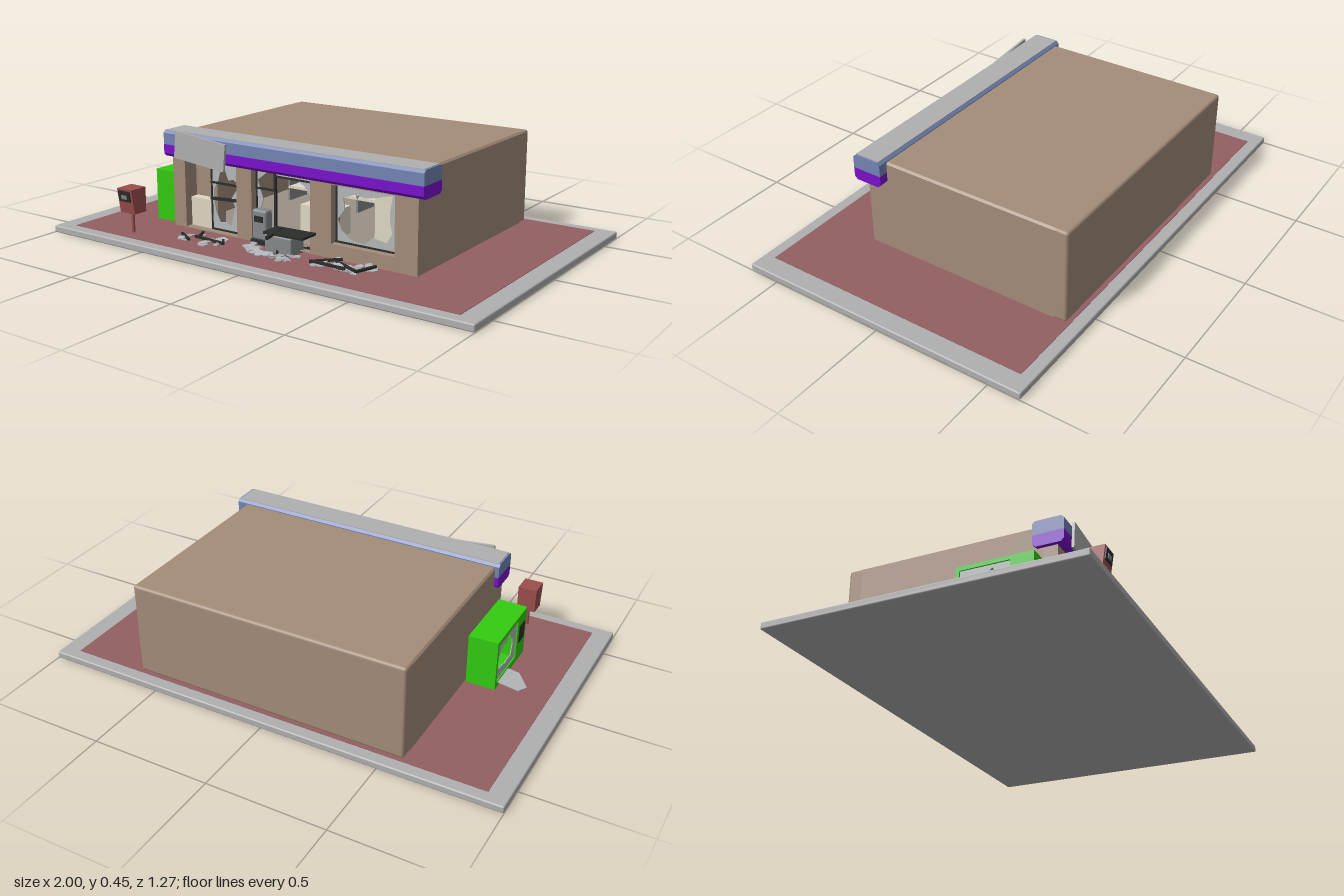
import * as THREE from 'three';
import { RoundedBoxGeometry } from 'three/addons/geometries/RoundedBoxGeometry.js';

const C = {
  wall: 0xa48c79, green: 0x33cc11, purple: 0x7a10cc, blue: 0x7484b4, concrete: 0xb0b0b0, paving: 0x935f62,
  mailbox: 0x9c4e4e, dark: 0x2b2d2b, cream: 0xe0d8c4, glass: 0xb4b8ba, grey: 0x85888a, floor: 0x9a9186,
};
const mats = {};
const mat = (c) => (mats[c] ??= new THREE.MeshStandardMaterial({ color: C[c], side: THREE.DoubleSide }));

let seed = 7;
const rnd = (a = 0, b = 1) => {
  seed = (seed * 16807) % 2147483647;
  return a + (b - a) * seed / 2147483647;
};

function add(parent, name, geo, color, x = 0, y = 0, z = 0) {
  const m = new THREE.Mesh(geo, mat(color));
  m.name = name;
  m.position.set(x, y, z);
  parent.add(m);
  return m;
}

// Box given by its limits on each axis, optionally with rounded edges
function box(parent, name, color, [x0, x1], [y0, y1], [z0, z1], r = 0) {
  const s = [x1 - x0, y1 - y0, z1 - z0];
  const geo = r ? new RoundedBoxGeometry(...s, 2, r) : new THREE.BoxGeometry(...s);
  return add(parent, name, geo, color, (x0 + x1) / 2, (y0 + y1) / 2, (z0 + z1) / 2);
}

const poly = (pts) => new THREE.Shape(pts.map(([x, y]) => new THREE.Vector2(x, y)));
const rect = (x0, x1, y0, y1) => poly([[x0, y0], [x1, y0], [x1, y1], [x0, y1]]);
const extrude = (shape, depth) => new THREE.ExtrudeGeometry(shape, { depth, bevelEnabled: false });

// Prism along x from a (z, y) profile
function prismX(parent, name, color, profile, x0, x1) {
  const geo = extrude(poly(profile.map(([z, y]) => [-z, y])), x1 - x0);
  geo.rotateY(Math.PI / 2);
  return add(parent, name, geo, color, x0);
}

// Thin bar between two points
function bar(parent, name, a, b, t = 0.008, color = 'dark') {
  const A = new THREE.Vector3(...a), B = new THREE.Vector3(...b);
  const m = add(parent, name, new THREE.BoxGeometry(t, t, A.distanceTo(B)), color);
  m.position.copy(A).lerp(B, 0.5);
  m.lookAt(B);
  return m;
}

// Pane with a jagged hole broken through it
function brokenPane(x0, x1, y0, y1, low, high) {
  const shape = rect(x0, x1, y0, y1), hole = [];
  const n = 15;
  for (let i = 0; i < n; i++) {
    const a = i / n * Math.PI * 2, c = Math.cos(a), s = Math.sin(a);
    const k = rnd(low, high) / Math.max(Math.abs(c), Math.abs(s));
    hole.push([(x0 + x1) / 2 + c * k * (x1 - x0) / 2, (y0 + y1) / 2 + s * k * (y1 - y0) / 2]);
  }
  shape.holes.push(poly(hole));
  return extrude(shape, 0.004);
}

function shard(size) {
  const n = 4 + Math.floor(rnd(0, 3)), pts = [];
  for (let i = 0; i < n; i++) {
    const a = (i + rnd(0, 0.5)) / n * Math.PI * 2, r = size * rnd(0.6, 1.2);
    pts.push([Math.cos(a) * r, Math.sin(a) * r]);
  }
  return extrude(poly(pts), 0.004).rotateX(-Math.PI / 2);
}

export function createModel() {
  const model = new THREE.Group();
  const group = (name) => {
    const g = new THREE.Group();
    g.name = name;
    model.add(g);
    return g;
  };

  // Ground
  const ground = group('ground');
  box(ground, 'slab', 'concrete', [-1, 1], [0, 0.03], [-0.635, 0.635], 0.006);
  box(ground, 'paving', 'paving', [-0.92, 0.92], [0.02, 0.032], [-0.585, 0.585]);

  // Hollow building: side walls and roof in one, back wall, pierced front
  const shop = group('shop');
  const [L, R, T, r] = [-0.58, 0.61, 0.43, 0.008];
  const shell = poly([[L, 0.03], [R, 0.03], [R, T - r], [R - r, T], [L + r, T], [L, T - r]]);
  shell.holes.push(rect(-0.515, 0.56, 0.04, 0.4));
  add(shop, 'sidesAndRoof', extrude(shell, 0.8), 'wall', 0, 0, -0.52);
  box(shop, 'backWall', 'wall', [L, R], [0.03, T], [-0.57, -0.5], 0.012);
  const front = rect(L, R, 0.03, 0.42);
  front.holes.push(rect(-0.515, -0.24, 0.036, 0.34), rect(-0.163, 0.126, 0.036, 0.33));
  front.holes.push(rect(0.225, 0.51, 0.09, 0.325));
  add(shop, 'frontWall', extrude(front, 0.06), 'wall', 0, 0, 0.28);
  box(shop, 'entranceWall', 'wall', [-0.515, -0.4], [0.036, 0.36], [0.22, 0.27]);
  box(shop, 'floor', 'floor', [-0.515, 0.56], [0.034, 0.043], [-0.5, 0.28]);

  // Roof fascia
  const fascia = group('fascia');
  prismX(fascia, 'lowerBand', 'purple', [[0.257, 0.335], [0.36, 0.335], [0.373, 0.348], [0.373, 0.386], [0.244, 0.386], [0.244, 0.348]], -0.597, 0.65);
  prismX(fascia, 'upperBand', 'blue', [[0.244, 0.386], [0.373, 0.386], [0.373, 0.434], [0.362, 0.445], [0.255, 0.445], [0.244, 0.434]], -0.597, 0.65);
  box(fascia, 'topCap', 'concrete', [-0.59, 0.643], [0.44, 0.447], [0.254, 0.363]);
  const sign = box(fascia, 'hangingPanel', 'concrete', [-0.527, -0.263], [0.325, 0.439], [0.374, 0.385]);
  sign.rotation.z = -0.1;

  // Broken panes with dark frames
  const windows = group('windows');
  const panes = [[-0.4, -0.24, 0.036, 0.335, 0.35, 0.95], [-0.163, 0.126, 0.036, 0.33, 0.72, 0.99], [0.225, 0.51, 0.09, 0.325, 0.6, 0.95]];
  for (const [x0, x1, y0, y1, low, high] of panes) {
    add(windows, 'brokenGlass', brokenPane(x0, x1, y0, y1, low, high), 'glass', 0, 0, 0.305);
    for (const x of [x0 + 0.004, x1 - 0.004]) bar(windows, 'frameUpright', [x, y0, 0.307], [x, y1, 0.307]);
    for (const y of [y0 + 0.004, y1 - 0.004]) bar(windows, 'frameRail', [x0, y, 0.307], [x1, y, 0.307]);
  }
  bar(windows, 'mullion', [-0.066, 0.04, 0.307], [-0.066, 0.33, 0.307], 0.01);
  bar(windows, 'transom', [-0.163, 0.25, 0.307], [-0.066, 0.25, 0.307]);
  bar(windows, 'transom', [-0.066, 0.31, 0.307], [0.126, 0.31, 0.307]);
  bar(windows, 'doorBar', [-0.4, 0.24, 0.31], [-0.24, 0.24, 0.31]);
  bar(windows, 'doorBar', [-0.4, 0.17, 0.31], [-0.24, 0.18, 0.31], 0.012);

  // Furnishings inside and by the entrance
  const inside = group('furnishings');
  box(inside, 'entranceCabinet', 'cream', [-0.51, -0.402], [0.037, 0.16], [0.27, 0.31]);
  box(inside, 'counter', 'cream', [-0.06, 0.12], [0.04, 0.16], [0.05, 0.15]);
  box(inside, 'tallCabinet', 'cream', [0.36, 0.5], [0.04, 0.33], [0.1, 0.24]);
  for (const y of [0.1, 0.18, 0.26]) box(inside, 'shelf', 'cream', [-0.4, 0.35], [y, y + 0.012], [-0.35, -0.22]);
  for (const x of [-0.4, -0.03, 0.34]) box(inside, 'shelfEnd', 'grey', [x, x + 0.01], [0.04, 0.3], [-0.35, -0.22]);

  // Machine and damaged table in front of the middle window
  const street = group('frontFurniture');
  box(street, 'machineBody', 'grey', [-0.147, -0.075], [0.05, 0.175], [0.315, 0.36], 0.01);
  box(street, 'machineScreen', 'dark', [-0.132, -0.09], [0.125, 0.15], [0.35, 0.363]);
  box(street, 'machineFoot', 'dark', [-0.152, -0.07], [0.033, 0.05], [0.31, 0.365]);
  box(street, 'tableBase', 'grey', [-0.03, 0.1], [0.034, 0.108], [0.345, 0.43], 0.006);
  box(street, 'tableTop', 'dark', [-0.035, 0.155], [0.11, 0.12], [0.34, 0.43]).rotation.z = 0.02;
  bar(street, 'brokenLeg', [0.0, 0.117, 0.36], [0.02, 0.112, 0.48], 0.012);

  // Green cabinet, open and smashed on its outer side
  const booth = group('greenCabinet');
  box(booth, 'top', 'green', [-0.71, -0.585], [0.235, 0.252], [-0.01, 0.305]);
  box(booth, 'bottom', 'green', [-0.71, -0.585], [0.032, 0.06], [-0.01, 0.305]);
  box(booth, 'back', 'green', [-0.6, -0.585], [0.06, 0.235], [-0.01, 0.305]);
  box(booth, 'rearEnd', 'green', [-0.71, -0.6], [0.06, 0.235], [-0.01, 0.005]);
  box(booth, 'frontEnd', 'green', [-0.71, -0.6], [0.06, 0.235], [0.21, 0.305]);
  box(booth, 'payPanel', 'dark', [-0.713, -0.7], [0.12, 0.2], [0.228, 0.285]);
  const pane = brokenPane(0.005, 0.21, 0.06, 0.235, 0.45, 0.9).rotateY(-Math.PI / 2);
  add(booth, 'brokenGlass', pane, 'glass', -0.7);
  const flap = poly([[-0.71, 0.02], [-0.8, 0.02], [-0.82, 0.06], [-0.76, 0.13], [-0.71, 0.13]].map(([x, z]) => [x, -z]));
  const fallen = add(booth, 'fallenGlass', extrude(flap, 0.004).rotateX(-Math.PI / 2), 'glass');
  fallen.geometry.translate(0.71, 0, 0);
  fallen.position.set(-0.71, 0.05, 0);
  fallen.rotation.z = 0.14;

  // Mailbox on a post
  const mail = group('mailbox');
  prismX(mail, 'box', 'mailbox', [[0.484, 0.12], [0.55, 0.12], [0.566, 0.225], [0.483, 0.225]], -0.686, -0.606);
  add(mail, 'post', new THREE.CylinderGeometry(0.007, 0.007, 0.1, 12), 'mailbox', -0.647, 0.08, 0.52);
  const slot = box(mail, 'slotPanel', 'dark', [-0.678, -0.616], [0.172, 0.218], [0.557, 0.566]);
  slot.rotation.x = 0.15;
  box(mail, 'slot', 'grey', [-0.662, -0.632], [0.183, 0.2], [0.56, 0.568]).rotation.x = 0.15;

  // Three heaps of glass and snapped frame bars
  const debris = group('debris');
  const heaps = [[-0.32, 0.45, 0.1, 0.07, 14], [0, 0.42, 0.14, 0.07, 26], [0.34, 0.41, 0.11, 0.06, 22]];
  for (const [cx, cz, w, d, n] of heaps) {
    for (let i = 0; i < n; i++) {
      const s = add(debris, 'glassShard', shard(rnd(0.013, 0.03)), 'glass',
        cx + rnd(-w, w), rnd(0.034, 0.046), cz + rnd(-d, d));
      s.rotation.set(rnd(-0.2, 0.2), rnd(0, 6.28), rnd(-0.2, 0.2));
    }
  }
  const sticks = [[-0.44, 0.45, -0.35, 0.51], [-0.37, 0.45, -0.2, 0.475], [-0.24, 0.43, -0.2, 0.475], [-0.38, 0.39, -0.34, 0.46],
    [0, 0.39, 0.05, 0.45], [0.2, 0.45, 0.3, 0.37], [0.2, 0.44, 0.37, 0.46], [0.28, 0.39, 0.42, 0.46], [0.41, 0.46, 0.45, 0.37]];
  for (const [x0, z0, x1, z1] of sticks) bar(debris, 'snappedBar', [x0, 0.045, z0], [x1, 0.05, z1], 0.01);

  return model;
}
